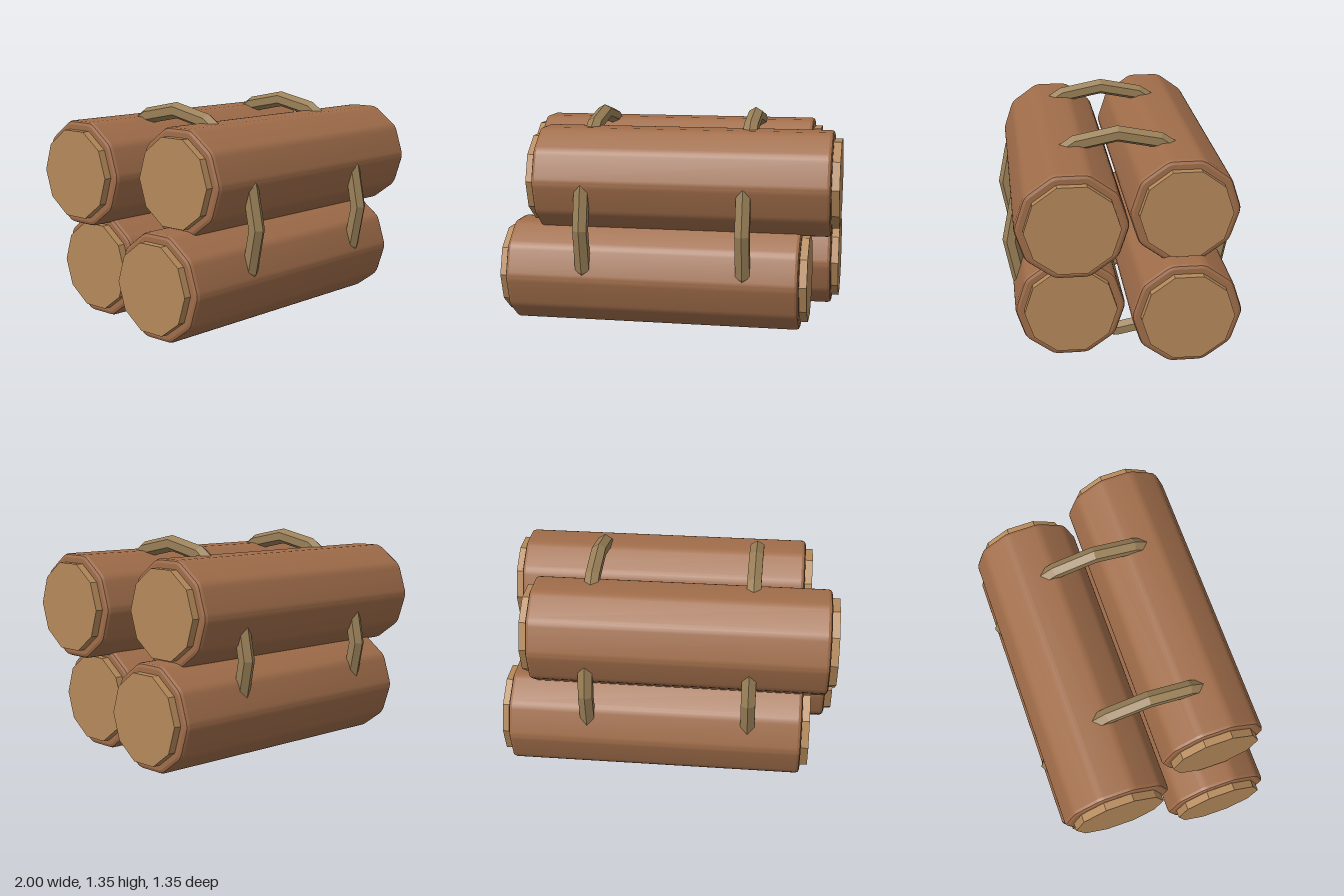
import * as THREE from 'three';
import { toCreasedNormals } from 'three/addons/utils/BufferGeometryUtils.js';

const SIDES = 10;
const BARK_LENGTH = 1.74;
const CORE_LENGTH = 1.83;

const material = (color, flatShading) => new THREE.MeshStandardMaterial({ color, flatShading });

// Ten-sided log section with softly rounded corners
function logSection(apothem, rounding) {
  const points = [];
  const half = Math.PI / SIDES;
  const centre = (apothem - rounding) / Math.cos(half);
  for (let i = 0; i < SIDES; i++) {
    const a = 2 * half * i;
    for (let j = 0; j <= 3; j++) {
      const b = a + half * (j / 1.5 - 1);
      points.push(new THREE.Vector2(
        centre * Math.cos(a) + rounding * Math.cos(b),
        centre * Math.sin(a) + rounding * Math.sin(b)));
    }
  }
  return new THREE.Shape(points);
}

// Bark sleeve along x with bevelled rims
function barkGeometry() {
  const bevel = 0.022;
  const geometry = new THREE.ExtrudeGeometry(logSection(0.303, 0.09), {
    depth: BARK_LENGTH - 2 * bevel,
    bevelThickness: bevel, bevelSize: bevel, bevelOffset: -bevel, bevelSegments: 2,
  });
  geometry.translate(0, 0, bevel - BARK_LENGTH / 2);
  geometry.rotateY(Math.PI / 2);
  return toCreasedNormals(geometry, 0.3);
}

export function createModel() {
  const model = new THREE.Group();
  model.name = 'logBundle';

  const barkMaterial = material(0xa06d4a, false);
  const coreMaterial = material(0xb5895a, true);
  const strapMaterial = material(0x9a8058, true);

  const bark = barkGeometry();
  const core = new THREE.CylinderGeometry(0.265, 0.265, CORE_LENGTH, SIDES).rotateZ(Math.PI / 2);

  // Four logs, each slid a little along its length
  const logs = [
    ['upperFrontLog', 0.085, 0.945, 0.305],
    ['lowerFrontLog', -0.087, 0.375, 0.305],
    ['upperBackLog', -0.07, 0.945, -0.343],
    ['lowerBackLog', 0.065, 0.375, -0.343],
  ];
  for (const [name, x, y, z] of logs) {
    const log = new THREE.Group();
    log.name = name;
    log.position.set(x, y, z);
    const barkMesh = new THREE.Mesh(bark, barkMaterial);
    barkMesh.name = 'bark';
    const coreMesh = new THREE.Mesh(core, coreMaterial);
    coreMesh.name = 'core';
    log.add(barkMesh, coreMesh);
    model.add(log);
  }

  // Two hexagonal-section binding rings
  const ring = new THREE.TorusGeometry(0.627, 0.048, 6, 16).rotateY(Math.PI / 2);
  for (const [name, x] of [['rightBinding', -0.487], ['leftBinding', 0.461]]) {
    const strap = new THREE.Mesh(ring, strapMaterial);
    strap.name = name;
    strap.position.set(x, 0.676, 0);
    model.add(strap);
  }
  return model;
}
